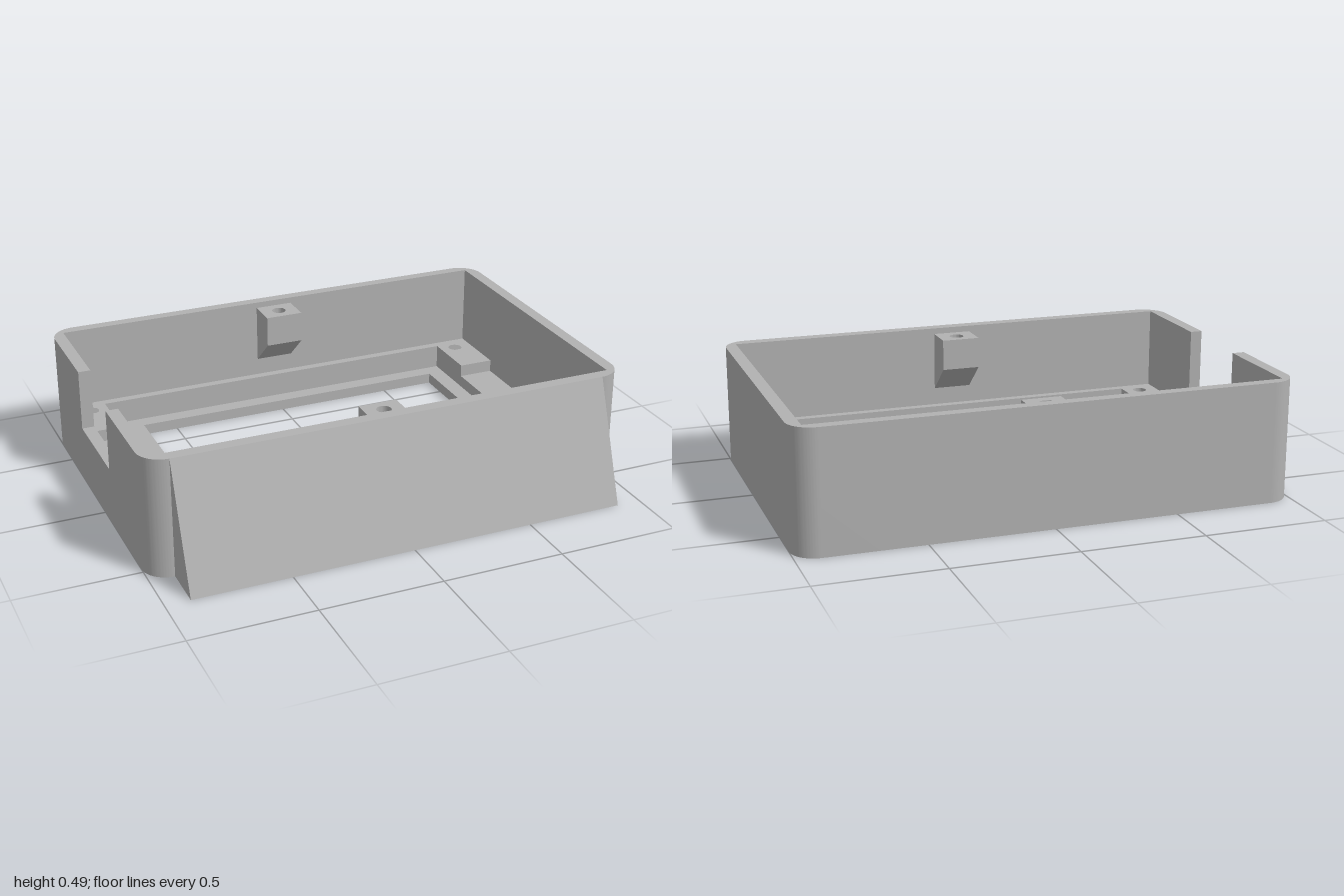
import * as THREE from 'three';
import { toCreasedNormals } from 'three/addons/utils/BufferGeometryUtils.js';

const grey = new THREE.MeshStandardMaterial({ color: 0xb2b2b2 });
grey.name = 'grey plastic';

// Plan dimensions: outer shell, inner cavity, heights
const BACK = -0.755, FRONT = 0.575, R = 0.1, H = 0.49;
const IN_X = 0.95, IN_BACK = -0.71, IN_FRONT = 0.525;
const SEAT_X = 0.8, SEAT_BACK = -0.675, SEAT_FRONT = 0.49;
const NOTCH_BACK = -0.29, NOTCH_FRONT = 0.1, SILL = 0.24;
const FLOOR = 0.045, SLOT = 0.095, SHELF = 0.147;

// Closed polygon from [x, z] plan points (drawn with z flipped so it extrudes upwards)
const plan = (pts, Type = THREE.Shape) => new Type(pts.map(([x, z]) => new THREE.Vector2(x, -z)));
const rect = (x0, x1, z0, z1) => [[x0, z1], [x1, z1], [x1, z0], [x0, z0]];
const hole = (x, z, r = 0.03) => new THREE.Path().absarc(x, -z, r, 0, Math.PI * 2, true);

function mesh(name, geometry) {
  const m = new THREE.Mesh(toCreasedNormals(geometry, 0.5), grey);
  m.name = name;
  return m;
}

// Plan shape raised from y0 to y1
function slab(name, shape, y0, y1, holes = []) {
  shape.holes.push(...holes);
  const g = new THREE.ExtrudeGeometry(shape, { depth: y1 - y0, bevelEnabled: false, curveSegments: 16 });
  return mesh(name, g.rotateX(-Math.PI / 2).translate(0, y0, 0));
}

// Side profile of [z, y] points, swept across x and centred
function prism(name, pts, width) {
  const shape = new THREE.Shape(pts.map(([z, y]) => new THREE.Vector2(z, y)));
  const g = new THREE.ExtrudeGeometry(shape, { depth: width, bevelEnabled: false });
  return mesh(name, g.rotateY(-Math.PI / 2).translate(width / 2, 0, 0));
}

// Rounded wall, open at the notch on the right side
function wallShape() {
  const s = new THREE.Shape(), q = Math.PI / 2, c = 1 - R;
  s.moveTo(-1, -NOTCH_FRONT);
  s.lineTo(-1, -FRONT + R);
  s.absarc(-c, -FRONT + R, R, 2 * q, 3 * q, false);
  s.absarc(c, -FRONT + R, R, 3 * q, 4 * q, false);
  s.absarc(c, -BACK - R, R, 0, q, false);
  s.absarc(-c, -BACK - R, R, q, 2 * q, false);
  s.lineTo(-1, -NOTCH_BACK);
  s.lineTo(-IN_X, -NOTCH_BACK);
  s.lineTo(-IN_X, -IN_BACK);
  s.lineTo(IN_X, -IN_BACK);
  s.lineTo(IN_X, -IN_FRONT);
  s.lineTo(-IN_X, -IN_FRONT);
  s.lineTo(-IN_X, -NOTCH_FRONT);
  s.closePath();
  return s;
}

export function createModel() {
  const model = new THREE.Group();
  model.name = 'displayHousing';
  const cavity = () => plan(rect(-IN_X, IN_X, IN_BACK, IN_FRONT));
  const screwHoles = () => [-0.87, 0.87].flatMap(x => [hole(x, -0.63), hole(x, 0.445)]);

  // Outer wall and the sill under the notch
  model.add(slab('wall', wallShape(), 0, H));
  model.add(slab('notchSill', plan(rect(-1, -IN_X, NOTCH_BACK, NOTCH_FRONT)), 0, SILL));

  // Floor with an off-centre window
  model.add(slab('floor', cavity(), 0, FLOOR,
    [plan(rect(-0.65, 0.73, -0.61, 0.425), THREE.Path)]));

  // Stepped seat around the window
  model.add(slab('seatFrame', cavity(), FLOOR, SLOT,
    [plan(rect(-SEAT_X, SEAT_X, SEAT_BACK, SEAT_FRONT), THREE.Path), ...screwHoles()]));

  // Shelf with screw corners: front and back halves, leaving side slots between
  const half = (zWall, zSeat, zSlot) => plan([
    [-IN_X, zWall], [IN_X, zWall], [IN_X, zSlot], [SEAT_X, zSlot],
    [SEAT_X, zSeat], [-SEAT_X, zSeat], [-SEAT_X, zSlot], [-IN_X, zSlot]]);
  model.add(slab('backShelf', half(IN_BACK, SEAT_BACK, -0.43), SLOT, SHELF,
    [hole(-0.87, -0.63), hole(0.87, -0.63)]));
  model.add(slab('frontShelf', half(IN_FRONT, SEAT_FRONT, 0.24), SLOT, SHELF,
    [hole(-0.87, 0.445), hole(0.87, 0.445)]));

  // Lid bosses on the front and back walls, sloped underneath
  for (const [side, zWall, zTip, zHole] of [['back', IN_BACK, -0.58, -0.645], ['front', IN_FRONT, 0.395, 0.457]]) {
    const boss = new THREE.Group();
    boss.name = side + 'Boss';
    boss.add(slab('bossBlock', plan(rect(-0.08, 0.08, Math.min(zWall, zTip), Math.max(zWall, zTip))),
      0.335, 0.465, [hole(0, zHole)]));
    boss.add(prism('bossSlope', [[zWall, 0.22], [zTip, 0.335], [zWall, 0.335]], 0.16));
    model.add(boss);
  }

  // Sloping front face
  model.add(prism('frontWedge', [[FRONT, 0], [0.755, 0], [FRONT, H]], 1.8));
  return model;
}
